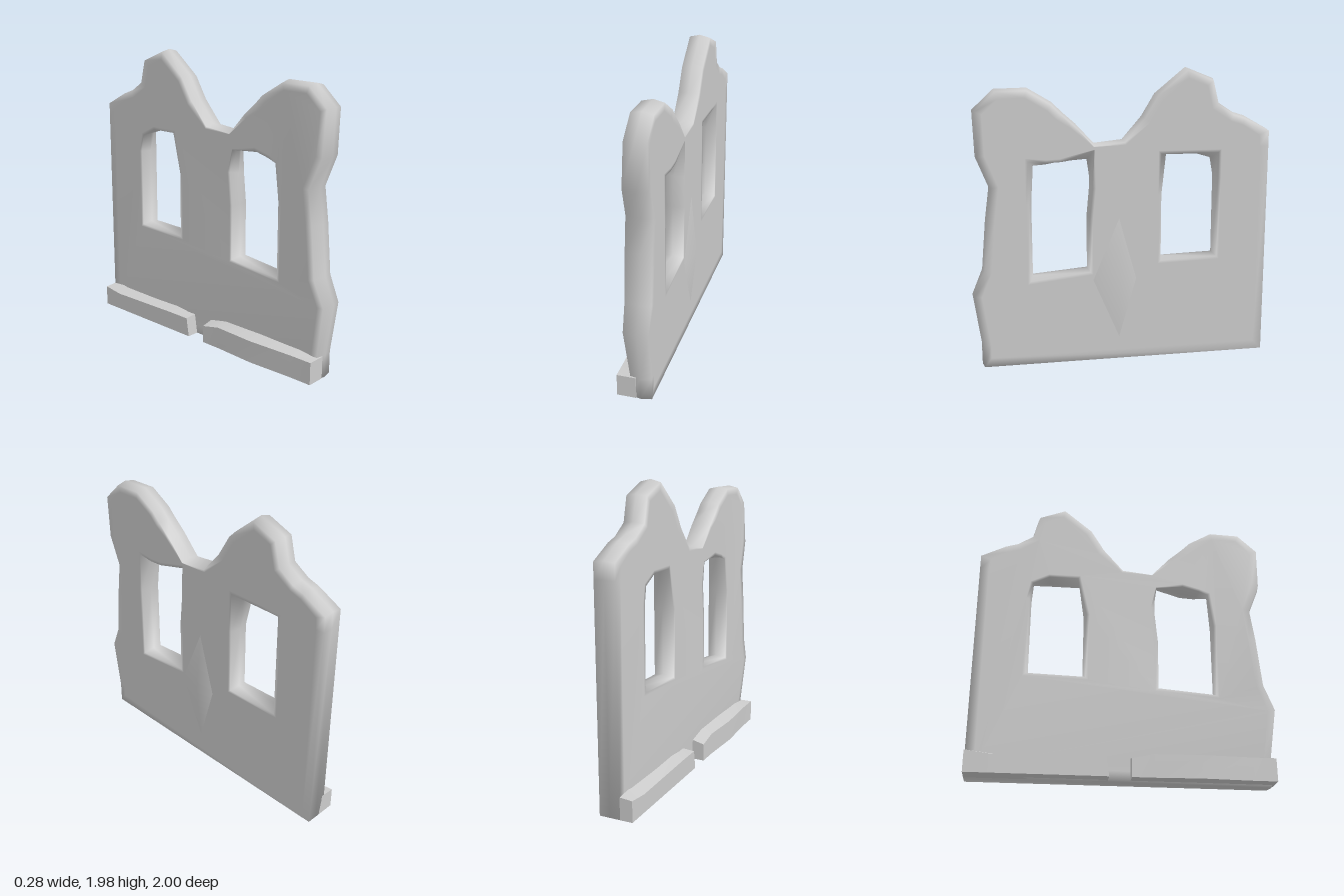
import * as THREE from 'three';
import { toCreasedNormals } from 'three/addons/utils/BufferGeometryUtils.js';

const material = new THREE.MeshStandardMaterial({ color: 0xcccccc });
const FRONT = 0.10, MID = 0.03, BACK = -0.04;

function makeGeometry(positions, index) {
  const g = new THREE.BufferGeometry();
  g.setAttribute('position', new THREE.Float32BufferAttribute(positions, 3));
  g.setIndex(index);
  g.computeVertexNormals();
  return g;
}

// Points are [z, y, inset]; flattened to the wall plane with -z to the right.
const flatten = (loop) => loop.map(([z, y]) => new THREE.Vector2(-z, y));

// Shift a loop into the wall by its insets (scaled), with mitred corners.
function insetLoop(loop, amount) {
  const pts = flatten(loop), n = pts.length;
  const normal = (a, b) => new THREE.Vector2(a.y - b.y, b.x - a.x).normalize();
  return pts.map((p, i) => {
    const n1 = normal(pts[(i + n - 1) % n], p), n2 = normal(p, pts[(i + 1) % n]);
    return n1.clone().add(n2).multiplyScalar(amount(loop[i]) / Math.max(0.5, 1 + n1.dot(n2))).add(p);
  });
}

// Wall slab lofted from rings across its thickness, softly shaded at the edges.
function buildWall(outline, windows) {
  const positions = [], index = [], capFront = [], capBack = [], idsFront = [], idsBack = [];
  const step = THREE.MathUtils.smoothstep;
  const edge = () => 0.015, band = (p) => p[2] ?? 0.06;
  const addRing = (pts, x) => pts.map((p) => {
    let y = p.y < 0.03 ? 0 : p.y, z = -p.x < -0.97 ? -1 : -p.x, px = x;
    // swelling of the rear face near the front end
    if (x === BACK) px -= 0.03 * step(z, 0.55, 0.85) * step(y, 0.3, 0.6) * (1 - step(y, 1.2, 1.75));
    positions.push(px, y, z);
    return positions.length / 3 - 1;
  });
  for (const { front, back } of [outline, ...windows]) {
    const mid = front.map((p, i) => [(p[0] + back[i][0]) / 2, (p[1] + back[i][1]) / 2]);
    const f = insetLoop(front, band), b = insetLoop(back, band);
    const rings = [
      addRing(f, FRONT),
      addRing(insetLoop(front, edge), FRONT),
      addRing(flatten(mid), MID),
      addRing(insetLoop(back, edge), BACK),
      addRing(b, BACK),
    ];
    const n = front.length;
    for (let r = 0; r < 4; r++) for (let i = 0; i < n; i++) {
      const j = (i + 1) % n, a = rings[r], c = rings[r + 1];
      index.push(a[i], c[i], c[j], a[i], c[j], a[j]);
    }
    capFront.push(f); capBack.push(b);
    idsFront.push(...rings[0]); idsBack.push(...rings[4]);
  }
  for (const [a, b, c] of THREE.ShapeUtils.triangulateShape(capFront[0], capFront.slice(1)))
    index.push(idsFront[a], idsFront[b], idsFront[c]);
  for (const [a, b, c] of THREE.ShapeUtils.triangulateShape(capBack[0], capBack.slice(1)))
    index.push(idsBack[a], idsBack[c], idsBack[b]);
  return makeGeometry(positions, index);
}

// Footing lofted along z from sections [z, outer x, outer height, inner height].
function buildFooting(sections) {
  const positions = [], index = [0, 1, 2, 0, 2, 3], last = (sections.length - 1) * 4;
  for (const [z, x, yOut, yIn, zTop = z] of sections)
    positions.push(0, 0, z, x, 0, z, x, yOut, zTop, 0, yIn, zTop);
  for (let k = 0; k < last; k += 4) for (let j = 0; j < 4; j++) {
    const a = k + j, b = k + (j + 1) % 4;
    index.push(a, a + 4, b + 4, a, b + 4, b);
  }
  index.push(last, last + 2, last + 1, last, last + 3, last + 2);
  return toCreasedNormals(makeGeometry(positions, index), 0.7);
}

export function createModel() {
  const group = new THREE.Group();
  const add = (name, geometry) => {
    const mesh = new THREE.Mesh(geometry, material);
    mesh.name = name;
    group.add(mesh);
  };

  // Broken wall silhouette
  const outline = [
    [0.95, 0], [-1, 0], [-1, 1.45], [-0.99, 1.56], [-0.84, 1.65], [-0.76, 1.675], [-0.66, 1.74],
    [-0.62, 1.90], [-0.43, 1.975], [-0.23, 1.81], [-0.14, 1.66], [-0.01, 1.51, 0.03],
    [0.18, 1.49, 0.018], [0.30, 1.62, 0.04], [0.39, 1.70], [0.45, 1.76], [0.61, 1.855],
    [0.82, 1.85], [0.96, 1.72], [0.95, 1.42], [0.87, 1.22], [0.90, 1.0], [0.93, 0.67],
    [1.0, 0.5], [0.95, 0.15],
  ];

  // Window openings, slightly different on the two faces
  const inset = (loop) => loop.map(([z, y, s = 0.035]) => [z, y, s]);
  const tallWindow = {
    front: inset([[0.60, 0.60], [0.60, 1.10], [0.60, 1.37], [0.50, 1.36], [0.40, 1.365],
      [0.20, 1.43, 0.018], [0.21, 1.20], [0.23, 1.0], [0.23, 0.64]]),
    back: inset([[0.59, 0.61], [0.59, 1.10], [0.56, 1.33], [0.51, 1.35], [0.40, 1.38],
      [0.23, 1.36, 0.02], [0.21, 1.22], [0.23, 1.0], [0.23, 0.64]]),
  };
  const shortWindow = {
    front: inset([[-0.28, 0.70], [-0.28, 1.14], [-0.28, 1.40], [-0.52, 1.40], [-0.64, 1.40],
      [-0.64, 1.24], [-0.64, 0.71]]),
    back: inset([[-0.28, 0.70], [-0.28, 1.14], [-0.34, 1.40], [-0.52, 1.40], [-0.62, 1.35],
      [-0.64, 1.24], [-0.64, 0.71]]),
  };
  add('wall', buildWall({ front: outline, back: outline }, [tallWindow, shortWindow]));

  // Shallow swelling between the windows
  add('wallBulge', makeGeometry(
    [0.14, 0.57, 0.02, 0.099, 0.15, 0.02, 0.099, 0.57, -0.1, 0.099, 1.0, 0.02, 0.099, 0.57, 0.2],
    [0, 1, 2, 0, 2, 3, 0, 3, 4, 0, 4, 1]));

  // Two footing pieces along the rear face, with a gap between them
  add('rearFooting', buildFooting([
    [-1, -0.125, 0.14, 0.15], [-0.85, -0.125, 0.12, 0.16], [-0.3, -0.125, 0.13, 0.16],
    [-0.11, -0.125, 0.13, 0.14, -0.13],
  ]));
  add('frontFooting', buildFooting([
    [0.03, -0.125, 0.12, 0.15], [0.17, -0.125, 0.15, 0.18], [0.47, -0.14, 0.15, 0.18],
    [0.8, -0.125, 0.15, 0.17], [0.95, -0.125, 0.15, 0.15],
  ]));
  return group;
}
